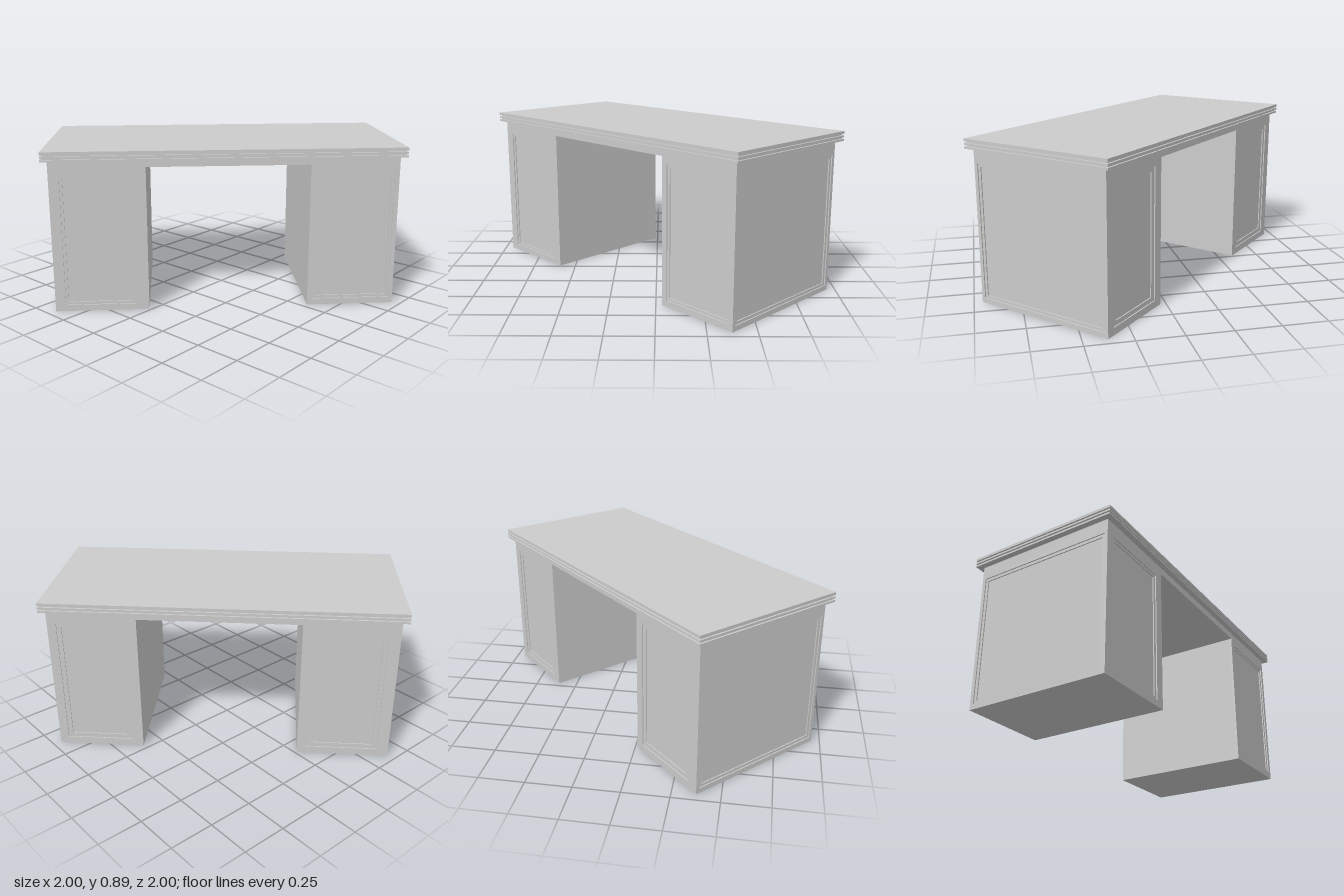
import * as THREE from 'three';

const material = new THREE.MeshStandardMaterial({ color: 0xcccccc });
const HALF_L = 0.94, HALF_W = 0.41;    // body half length and half width
const HEIGHT = 0.845, ARCH = 0.803;    // body height and knee-hole height
const KNEE = [-0.428, 0.455];          // knee-hole sides
const SKIN = 0.012;                    // thickness of the panelled facing

const points = (list) => list.map(([x, y]) => new THREE.Vector2(x, y));
const rectangle = (x0, x1, y0, y1) => points([[x0, y0], [x1, y0], [x1, y1], [x0, y1]]);

function mesh(name, geometry) {
  const m = new THREE.Mesh(geometry, material);
  m.name = name;
  return m;
}

function plate(name, outline, holes, depth) {
  const shape = new THREE.Shape(outline);
  shape.holes = holes.map((h) => new THREE.Path(h));
  return mesh(name, new THREE.ExtrudeGeometry(shape, { depth, bevelEnabled: false }));
}

// Inverted U: two pedestals joined above the knee hole
const archOutline = (half, k0, k1) => points([
  [-half, 0], [k0, 0], [k0, ARCH], [k1, ARCH], [k1, 0],
  [half, 0], [half, HEIGHT], [-half, HEIGHT],
]);

// Facing with sunken panels, each bordered by a stepped moulding
function facing(name, outline, panels) {
  const group = new THREE.Group();
  group.name = name;
  group.add(plate('facingBoard', outline, panels.map((p) => rectangle(...p.slice(0, 4))), SKIN));
  for (const [x0, x1, y0, y1, border] of panels) {
    const inset = (d) => rectangle(x0 + d, x1 - d, y0 + d, y1 - d);
    group.add(plate('panelMoulding', inset(0), [inset(border)], SKIN * 0.5));
  }
  return group;
}

export function createModel() {
  const model = new THREE.Group();
  model.name = 'desk';
  const desk = new THREE.Group();
  desk.name = 'deskBody';
  desk.rotation.y = -Math.PI / 4;      // the desk stands diagonally
  model.add(desk);

  // Solid core of pedestals and bridge
  const coreL = HALF_L - SKIN, coreW = HALF_W - SKIN;
  const core = plate('pedestals', archOutline(coreL, ...KNEE), [], coreW * 2);
  core.position.z = -coreW;
  desk.add(core);

  // Front and back facings
  const front = facing('frontFacing', archOutline(coreL, ...KNEE), [
    [-0.884, -0.481, 0.035, 0.765, 0.016],
    [0.488, 0.915, 0.035, 0.765, 0.016],
  ]);
  front.position.z = coreW;
  desk.add(front);

  const back = facing('backFacing', archOutline(coreL, -KNEE[1], -KNEE[0]), [
    [-0.891, -0.512, 0.04, 0.768, 0.026],
    [0.476, 0.877, 0.04, 0.768, 0.026],
  ]);
  back.position.z = -coreW;
  back.rotation.y = Math.PI;
  desk.add(back);

  // End facings
  for (const side of [-1, 1]) {
    const end = facing(side > 0 ? 'leftEnd' : 'rightEnd',
      rectangle(-HALF_W, HALF_W, 0, HEIGHT), [[-0.39, 0.39, 0.028, 0.765, 0.016]]);
    end.position.x = side * coreL;
    end.rotation.y = side * Math.PI / 2;
    desk.add(end);
  }

  // Layered top: three slabs separated by shallow grooves
  const layers = [
    [0.842, 0.853, 0], [0.853, 0.861, 0.01], [0.861, 0.872, 0],
    [0.872, 0.88, 0.01], [0.88, 0.895, 0],
  ];
  for (const [y0, y1, inset] of layers) {
    const slab = mesh(inset ? 'topGroove' : 'topSlab',
      new THREE.BoxGeometry(2 * (0.972 - inset), y1 - y0, 2 * (0.442 - inset)));
    slab.position.y = (y0 + y1) / 2;
    desk.add(slab);
  }
  return model;
}
